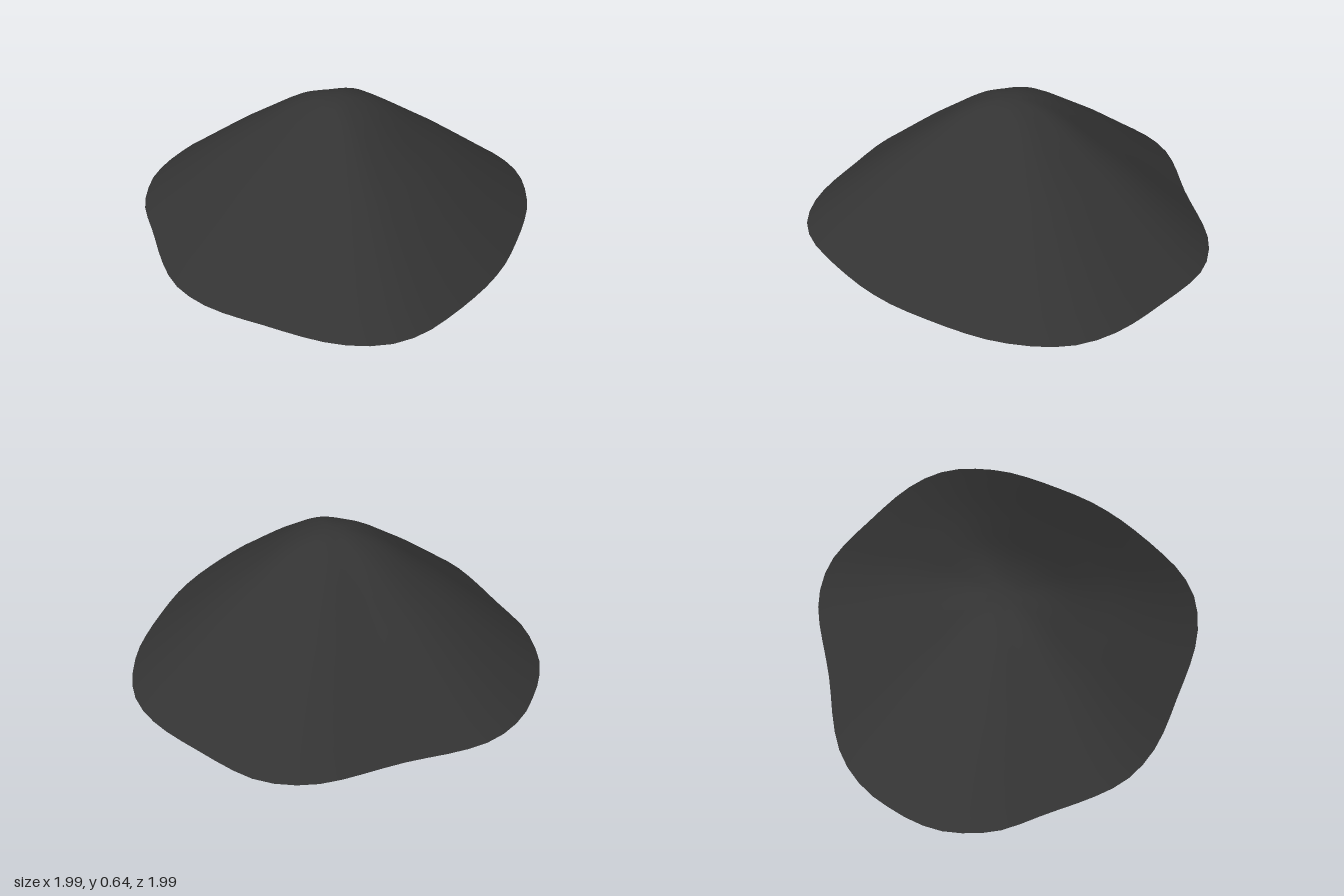
import * as THREE from 'three';

// Footprint of the mound as x, z pairs, running from the left side round by the front
const OUTLINE = [
  [0.99, -0.07], [0.96, 0.06], [0.91, 0.19], [0.84, 0.31], [0.71, 0.49], [0.62, 0.60],
  [0.49, 0.72], [0.35, 0.82], [0.22, 0.90], [0.10, 0.96], [-0.03, 0.99], [-0.17, 0.975],
  [-0.30, 0.925], [-0.42, 0.85], [-0.55, 0.75], [-0.72, 0.62], [-0.81, 0.53], [-0.89, 0.41],
  [-0.93, 0.30], [-0.955, 0.16], [-0.975, -0.05], [-1.0, -0.30], [-0.975, -0.46], [-0.93, -0.59],
  [-0.86, -0.70], [-0.77, -0.80], [-0.67, -0.89], [-0.545, -0.96], [-0.42, -0.995], [-0.29, -1.0],
  [-0.035, -0.98], [0.33, -0.975], [0.465, -0.94], [0.59, -0.87], [0.68, -0.775], [0.80, -0.60],
  [0.90, -0.445], [0.955, -0.33], [0.99, -0.20],
];

// Slope from peak to rim: fraction of the way out, height
const PROFILE = [
  [0, 0.64], [0.05, 0.638], [0.1, 0.63], [0.17, 0.605], [0.24, 0.57], [0.31, 0.524],
  [0.375, 0.477], [0.43, 0.437], [0.52, 0.372], [0.6, 0.314], [0.7, 0.236], [0.8, 0.157],
  [0.9, 0.078], [1, 0],
];

const PEAK = { x: -0.04, z: -0.05 };
const SIDES = 64;

// Rings of the footprint shrinking towards the peak
function slopeGeometry(rim) {
  const positions = [];
  const indices = [];
  const row = rim.length;
  for (const [t, y] of PROFILE) {
    for (const p of rim) {
      positions.push(PEAK.x + (p.x - PEAK.x) * t, y, PEAK.z + (p.z - PEAK.z) * t);
    }
  }
  for (let r = 0; r < PROFILE.length - 1; r++) {
    for (let i = 0; i < row; i++) {
      const j = (i + 1) % row;
      const a = r * row + i, b = r * row + j;
      const c = a + row, d = b + row;
      if (r > 0) indices.push(a, b, c);
      indices.push(b, d, c);
    }
  }
  const geometry = new THREE.BufferGeometry();
  geometry.setAttribute('position', new THREE.Float32BufferAttribute(positions, 3));
  geometry.setIndex(indices);
  geometry.computeVertexNormals();
  // All copies of the peak point straight up
  for (let i = 0; i < row; i++) geometry.attributes.normal.setXYZ(i, 0, 1, 0);
  return geometry;
}

export function createModel() {
  const group = new THREE.Group();
  group.name = 'mound';
  const charcoal = new THREE.MeshStandardMaterial({ color: 0x333333 });
  charcoal.name = 'charcoal';

  const curve = new THREE.CatmullRomCurve3(
    OUTLINE.map(([x, z]) => new THREE.Vector3(x, 0, z)), true);
  const rim = curve.getSpacedPoints(SIDES).slice(0, SIDES);

  const slope = new THREE.Mesh(slopeGeometry(rim), charcoal);
  slope.name = 'slope';

  // Flat underside, facing down
  const underside = new THREE.ShapeGeometry(
    new THREE.Shape(rim.map((p) => new THREE.Vector2(p.x, p.z))));
  underside.rotateX(Math.PI / 2);
  const base = new THREE.Mesh(underside, charcoal);
  base.name = 'base';

  group.add(slope, base);
  return group;
}
